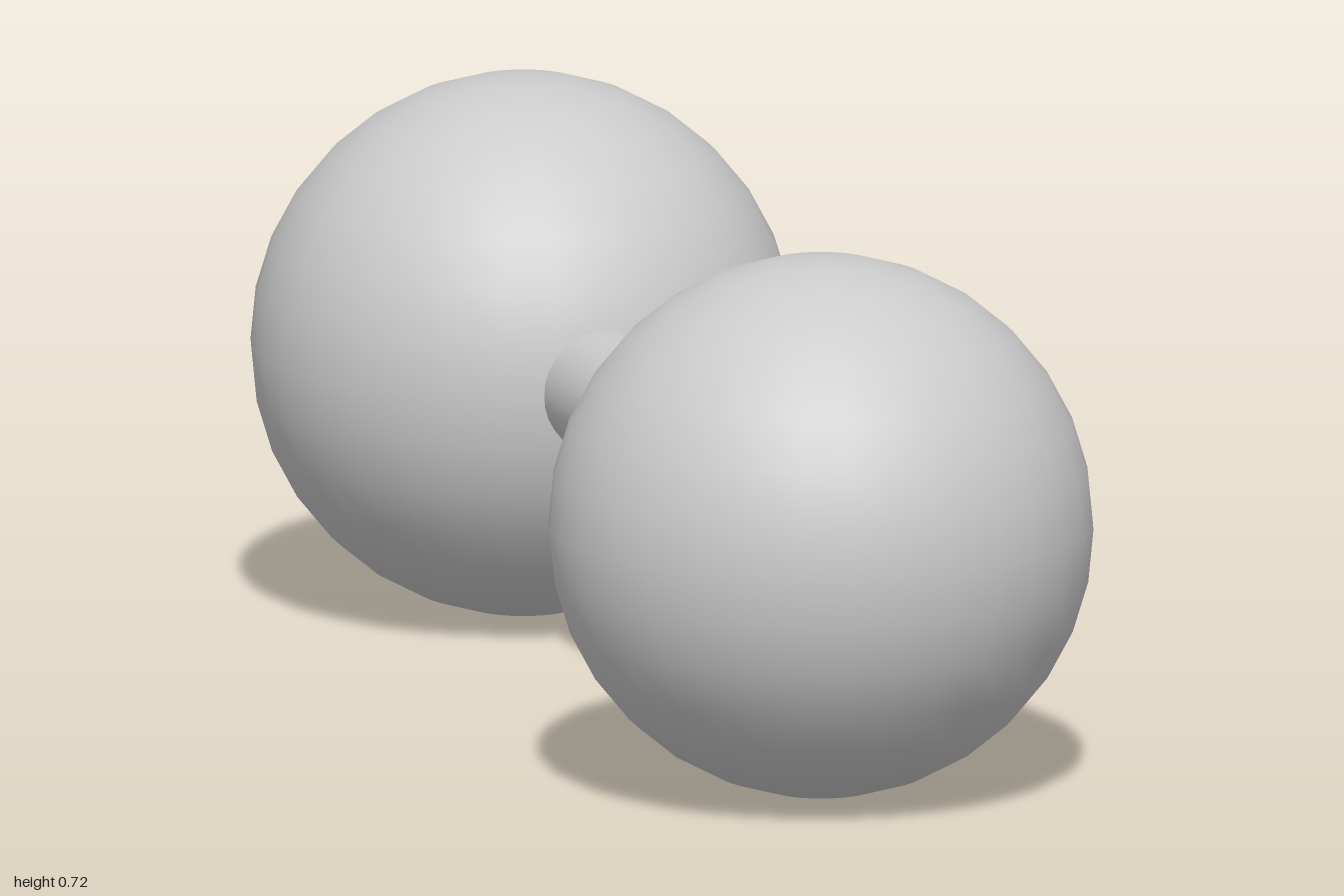
import * as THREE from 'three';

export function createModel() {
  const model = new THREE.Group();
  const material = new THREE.MeshStandardMaterial({ color: 0xcccccc });
  const radius = 0.36;
  const offset = 1 - radius;

  // Mirrored pair of weights
  const ballGeometry = new THREE.SphereGeometry(radius, 32, 16);
  for (const side of [1, -1]) {
    const ball = new THREE.Mesh(ballGeometry, material);
    ball.name = side > 0 ? 'frontBall' : 'backBall';
    ball.position.set(0, radius, side * offset);
    model.add(ball);
  }

  // Handle bar running between the ball centres
  const handle = new THREE.Mesh(new THREE.CylinderGeometry(0.083, 0.083, offset * 2, 32), material);
  handle.name = 'handle';
  handle.rotation.x = Math.PI / 2;
  handle.position.y = radius;
  model.add(handle);

  return model;
}
